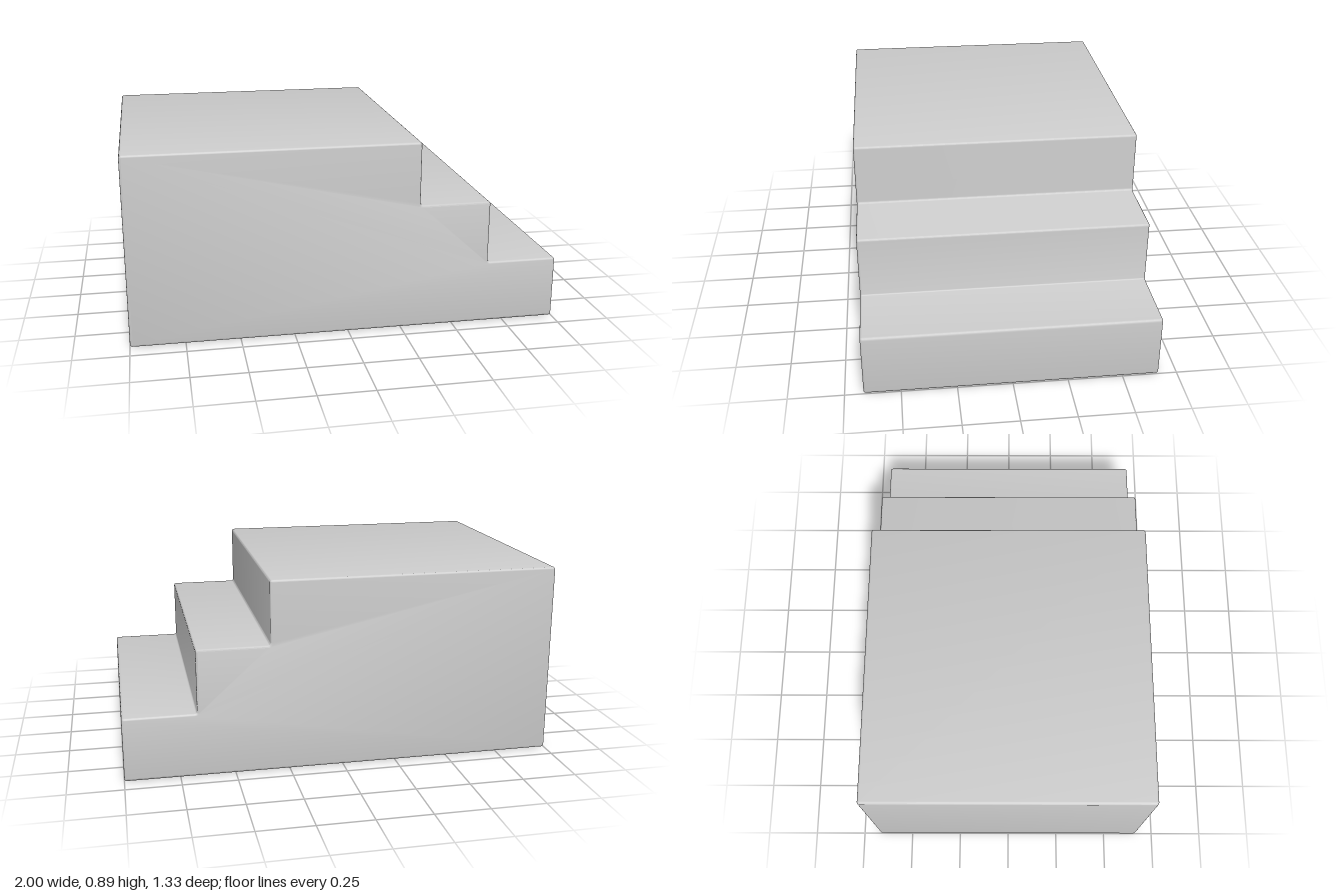
import * as THREE from 'three';
import { toCreasedNormals } from 'three/addons/utils/BufferGeometryUtils.js';

const STEPS = 3;
const RUN = 1 / 3;       // tread depth
const RISE = 0.8889 / 3; // riser height
const DEPTH = 1.3333;    // width of the stairs along z
const EDGE = 0.01;       // softened edge size

// Side profile with every corner slightly rounded
function roundedProfile(points, radius) {
  const shape = new THREE.Shape();
  points.forEach((p, i) => {
    const prev = points[(i + points.length - 1) % points.length];
    const next = points[(i + 1) % points.length];
    const start = p.clone().add(prev.clone().sub(p).setLength(radius));
    const end = p.clone().add(next.clone().sub(p).setLength(radius));
    if (i === 0) shape.moveTo(start.x, start.y);
    else shape.lineTo(start.x, start.y);
    shape.quadraticCurveTo(p.x, p.y, end.x, end.y);
  });
  shape.closePath();
  return shape;
}

export function createModel() {
  const group = new THREE.Group();
  group.name = 'steppedPlatform';

  // Base line, then up the steps from right to left, ending at the platform
  const points = [new THREE.Vector2(-1, 0), new THREE.Vector2(1, 0)];
  for (let i = 0; i < STEPS; i++) {
    const y = RISE * (i + 1);
    points.push(new THREE.Vector2(1 - RUN * i, y));
    points.push(new THREE.Vector2(i === STEPS - 1 ? -1 : 1 - RUN * (i + 1), y));
  }

  // One solid block with softened edges on both ends
  const geometry = new THREE.ExtrudeGeometry(roundedProfile(points, EDGE * 1.3), {
    depth: DEPTH - 2 * EDGE,
    curveSegments: 4,
    bevelEnabled: true,
    bevelThickness: EDGE,
    bevelSize: EDGE,
    bevelOffset: -EDGE,
    bevelSegments: 3,
  });
  geometry.translate(0, 0, -(DEPTH / 2 - EDGE));

  const stairs = new THREE.Mesh(
    toCreasedNormals(geometry, THREE.MathUtils.degToRad(40)),
    new THREE.MeshStandardMaterial({ color: 0xcccccc })
  );
  stairs.name = 'stairBlock';
  group.add(stairs);
  return group;
}
